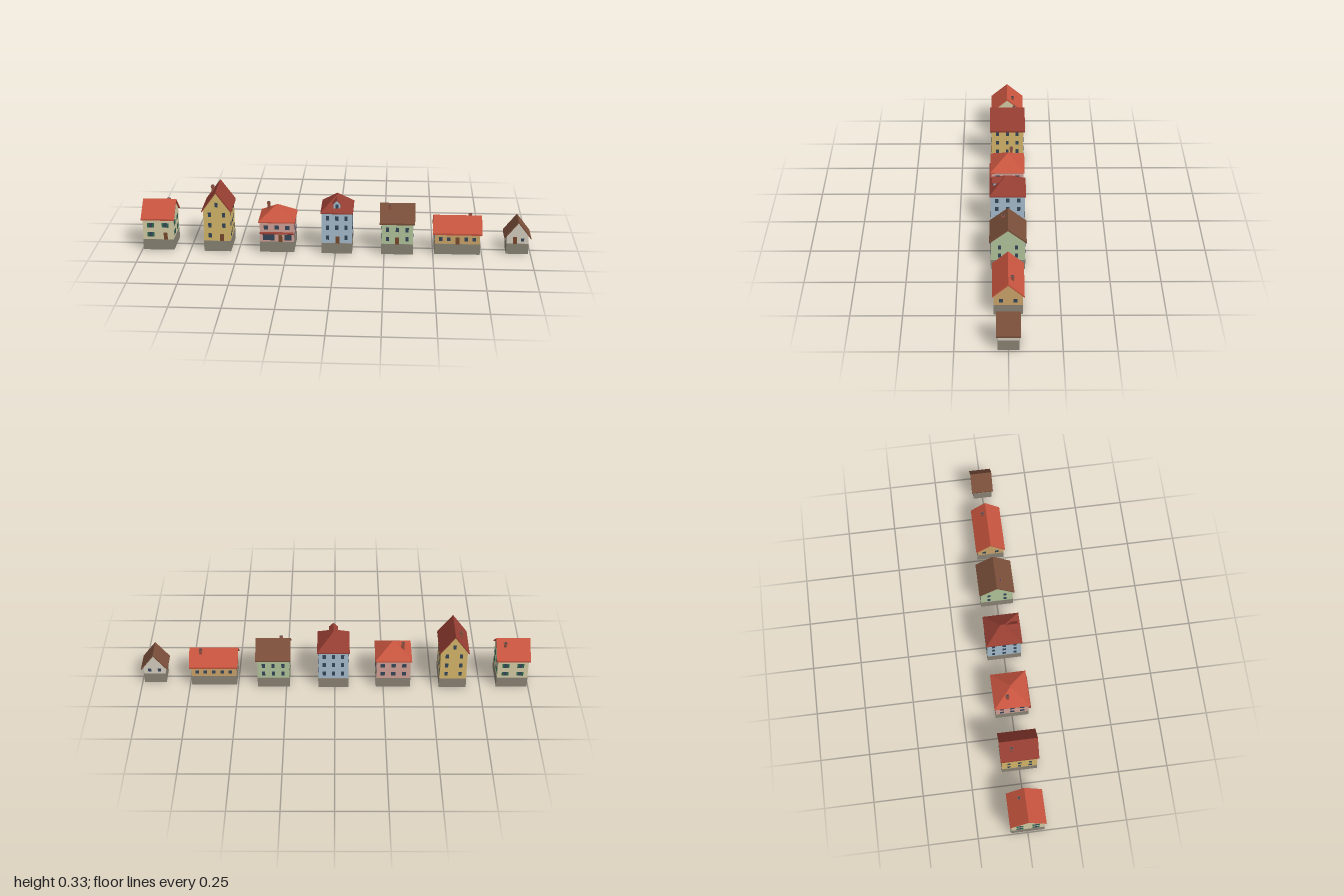
import * as THREE from 'three';

const mat = (color) => new THREE.MeshStandardMaterial({ color, flatShading: true });
const STONE = mat(0x8c8576), GLASS = mat(0x34465a), DOOR = mat(0x7a4a2c), SHUTTER = mat(0x2f6b4f);
const RED = mat(0xc8553f), DARK_RED = mat(0x983f33), BROWN = mat(0x7a4f3a), BRICK = mat(0x94503f);
const FLOOR = 0.057; // top of every stone base

function add(parent, name, geometry, material, x = 0, y = 0, z = 0) {
  const mesh = new THREE.Mesh(geometry, material);
  mesh.name = name;
  mesh.position.set(x, y, z);
  parent.add(mesh);
  return mesh;
}

const box = (parent, name, material, w, h, d, x, y, z) =>
  add(parent, name, new THREE.BoxGeometry(w, h, d), material, x, y, z);

// Extrude a profile along z, centred; turn it to run along x if asked
function prism(points, depth, alongX) {
  const shape = new THREE.Shape(points.map(([x, y]) => new THREE.Vector2(x, y)));
  const g = new THREE.ExtrudeGeometry(shape, { depth, bevelEnabled: false });
  g.translate(0, 0, -depth / 2);
  if (alongX) g.rotateY(Math.PI / 2);
  return g;
}

// Gabled walls and a folded roof slab
function gable(house, { wall, roof, hx, hz, rx, rz, eave, ridge, alongX }) {
  const t = 0.009;
  const span = alongX ? rz : rx, half = alongX ? hz : hx;
  const length = alongX ? hx : hz, roofLength = alongX ? rx : rz;
  const slope = (ridge - t - eave) / span;
  const top = ridge - t + 0.001, shoulder = top - slope * half;
  add(house, 'walls', prism([[-half, FLOOR], [half, FLOOR], [half, shoulder], [0, top], [-half, shoulder]],
    2 * length, alongX), wall);
  add(house, 'roof', prism([[-span, eave], [0, ridge - t], [span, eave], [span, eave + t], [0, ridge],
    [-span, eave + t]], 2 * roofLength, alongX), roof);
}

// Box walls and a hipped roof whose top is squeezed to a short ridge
function hip(house, { wall, roof, hx, hz, rx, rz, eave, ridge, ridgeX, ridgeZ }) {
  box(house, 'walls', wall, 2 * hx, eave - FLOOR, 2 * hz, 0, (eave + FLOOR) / 2, 0);
  box(house, 'eaves', roof, 2 * rx, 0.006, 2 * rz, 0, eave + 0.003, 0);
  const h = ridge - eave - 0.006;
  const g = new THREE.BoxGeometry(2 * rx, h, 2 * rz).toNonIndexed();
  const p = g.attributes.position;
  for (let i = 0; i < p.count; i++) {
    if (p.getY(i) > 0) p.setXYZ(i, Math.sign(p.getX(i)) * ridgeX, h / 2, Math.sign(p.getZ(i)) * ridgeZ);
  }
  g.computeVertexNormals();
  add(house, 'roof', g, roof, 0, eave + 0.006 + h / 2, 0);
}

// Thin panel on one wall; u runs along that wall
function panel(house, spec, side, name, material, u, y, w, h, out = 0.0025) {
  const g = new THREE.Group();
  g.name = side + ' ' + name;
  const turn = { front: 0, right: -1, back: 2, left: 1 }[side];
  g.rotation.y = turn * Math.PI / 2;
  const dist = turn % 2 ? spec.hx : spec.hz;
  box(g, name, material, w, h, 2 * out, u, y, dist);
  house.add(g);
}

function windowAt(house, spec, side, u, y) {
  const [w, h] = spec.pane || [0.016, 0.024];
  panel(house, spec, side, 'window', GLASS, u, y, w, h, 0.0015);
  if (spec.shutters) {
    for (const s of [-1, 1]) panel(house, spec, side, 'shutter', SHUTTER, u + s * (w / 2 + 0.005), y, 0.009, h);
  }
}

// Window columns are given per wall; the door replaces the ground window nearest to it
function openings(house, spec) {
  for (const side of ['front', 'back', 'left', 'right']) {
    const cols = side === 'front' || side === 'back' ? spec.cols : spec.sideCols;
    spec.rows.forEach((y, row) => cols.forEach((u) => {
      if (side === 'front' && row === 0 && (spec.shop || Math.abs(u - spec.door) < 0.02)) return;
      windowAt(house, spec, side, u, y);
    }));
  }
  panel(house, spec, 'front', 'door', DOOR, spec.door, FLOOR + 0.018, 0.02, 0.038);
}

function chimney(house, x, z, bottom, top) {
  box(house, 'chimney', BRICK, 0.014, top - bottom, 0.014, x, (top + bottom) / 2, z);
  box(house, 'chimneyCap', BRICK, 0.018, 0.005, 0.018, x, top - 0.006, z);
  box(house, 'flue', GLASS, 0.009, 0.002, 0.009, x, top, z);
}

const HOUSES = [
  { name: 'creamHouse', x: -0.914, wall: mat(0xd8cfa8), roof: RED, hx: 0.078, hz: 0.083, rx: 0.086, rz: 0.09,
    eave: 0.163, ridge: 0.25, alongX: true, cols: [-0.038, 0.038], sideCols: [-0.04, 0.04],
    rows: [0.084, 0.135], door: 0.038, shutters: true, chimney: [0.042, -0.031, 0.2, 0.243] },
  { name: 'tallYellowHouse', x: -0.608, wall: mat(0xd9ba6c), roof: DARK_RED, hx: 0.068, hz: 0.088, rx: 0.076,
    rz: 0.096, eave: 0.214, ridge: 0.327, cols: [-0.036, 0.036], sideCols: [-0.054, 0, 0.054],
    rows: [0.087, 0.142, 0.2], door: 0.024, attic: 0.255, chimney: [-0.033, -0.038, 0.24, 0.316] },
  { name: 'pinkShop', x: -0.301, wall: mat(0xd6a398), roof: RED, hx: 0.087, hz: 0.084, rx: 0.094, rz: 0.091,
    eave: 0.161, ridge: 0.23, ridgeX: 0.006, ridgeZ: 0.002, hip: true, cols: [-0.055, 0, 0.055],
    sideCols: [-0.052, 0, 0.052], rows: [0.084, 0.135], door: 0.018, shop: true, pane: [0.022, 0.022],
    chimney: [-0.049, -0.02, 0.18, 0.236] },
  { name: 'blueHouse', x: 0.007, wall: mat(0xa9c0d0), roof: DARK_RED, hx: 0.077, hz: 0.087, rx: 0.083, rz: 0.093,
    eave: 0.218, ridge: 0.296, ridgeX: 0.001, ridgeZ: 0.011, hip: true, cols: [-0.047, 0, 0.047],
    sideCols: [-0.056, 0, 0.056], rows: [0.087, 0.142, 0.193], door: 0.005, dormer: true },
  { name: 'greenHouse', x: 0.316, wall: mat(0xb5c99e), roof: BROWN, hx: 0.081, hz: 0.084, rx: 0.09, rz: 0.092,
    eave: 0.164, ridge: 0.25, alongX: true, cols: [-0.05, 0, 0.05], sideCols: [-0.042, 0.042],
    rows: [0.084, 0.135], door: 0, chimney: [-0.04, 0.023, 0.2, 0.244] },
  { name: 'longOrangeHouse', x: 0.624, wall: mat(0xcfa76c), roof: RED, hx: 0.115, hz: 0.069, rx: 0.125, rz: 0.077,
    eave: 0.108, ridge: 0.189, alongX: true, cols: [-0.085, -0.044, 0, 0.044, 0.085], sideCols: [-0.034, 0.034],
    rows: [0.083], door: 0, pane: [0.018, 0.021], chimney: [0.066, -0.02, 0.14, 0.192] },
  { name: 'smallHut', x: 0.932, wall: mat(0xd8d0c2), roof: BROWN, hx: 0.055, hz: 0.048, rx: 0.068, rz: 0.057,
    eave: 0.084, ridge: 0.181, cols: [-0.025, 0.025], sideCols: [], rows: [0.079], door: -0.014,
    pane: [0.016, 0.016] },
];

function createHouse(spec) {
  const house = new THREE.Group();
  house.name = spec.name;
  house.position.x = spec.x;
  box(house, 'stoneBase', STONE, 2 * spec.hx + 0.003, FLOOR, 2 * spec.hz + 0.003, 0, FLOOR / 2, 0);
  (spec.hip ? hip : gable)(house, spec);
  openings(house, spec);
  if (spec.chimney) chimney(house, ...spec.chimney);

  // Attic windows in both gables
  if (spec.attic) for (const side of ['front', 'back']) windowAt(house, spec, side, 0, spec.attic);

  // Shop front with wide panes under a sloping canopy
  if (spec.shop) {
    for (const [u, w] of [[-0.042, 0.06], [0.058, 0.036]]) {
      panel(house, spec, 'front', 'shopWindow', GLASS, u, 0.08, w, 0.03);
    }
    const canopy = box(house, 'canopy', DARK_RED, 2 * spec.hx, 0.005, 0.016, 0, 0.106, spec.hz + 0.005);
    canopy.rotation.x = 0.25;
  }

  // Gabled dormer on the front slope
  if (spec.dormer) {
    add(house, 'dormer', prism([[-0.017, 0.23], [0.017, 0.23], [0.017, 0.262], [0, 0.281], [-0.017, 0.262]], 0.06),
      spec.wall, 0, 0, 0.043);
    add(house, 'dormerRoof', prism([[-0.023, 0.261], [0, 0.284], [0.023, 0.261], [0.023, 0.266], [0, 0.289],
      [-0.023, 0.266]], 0.066), spec.roof, 0, 0, 0.046);
    box(house, 'dormerWindow', GLASS, 0.016, 0.02, 0.003, 0, 0.253, 0.0735);
  }
  return house;
}

export function createModel() {
  const model = new THREE.Group();
  model.name = 'rowOfHouses';
  for (const spec of HOUSES) model.add(createHouse(spec));
  return model;
}
